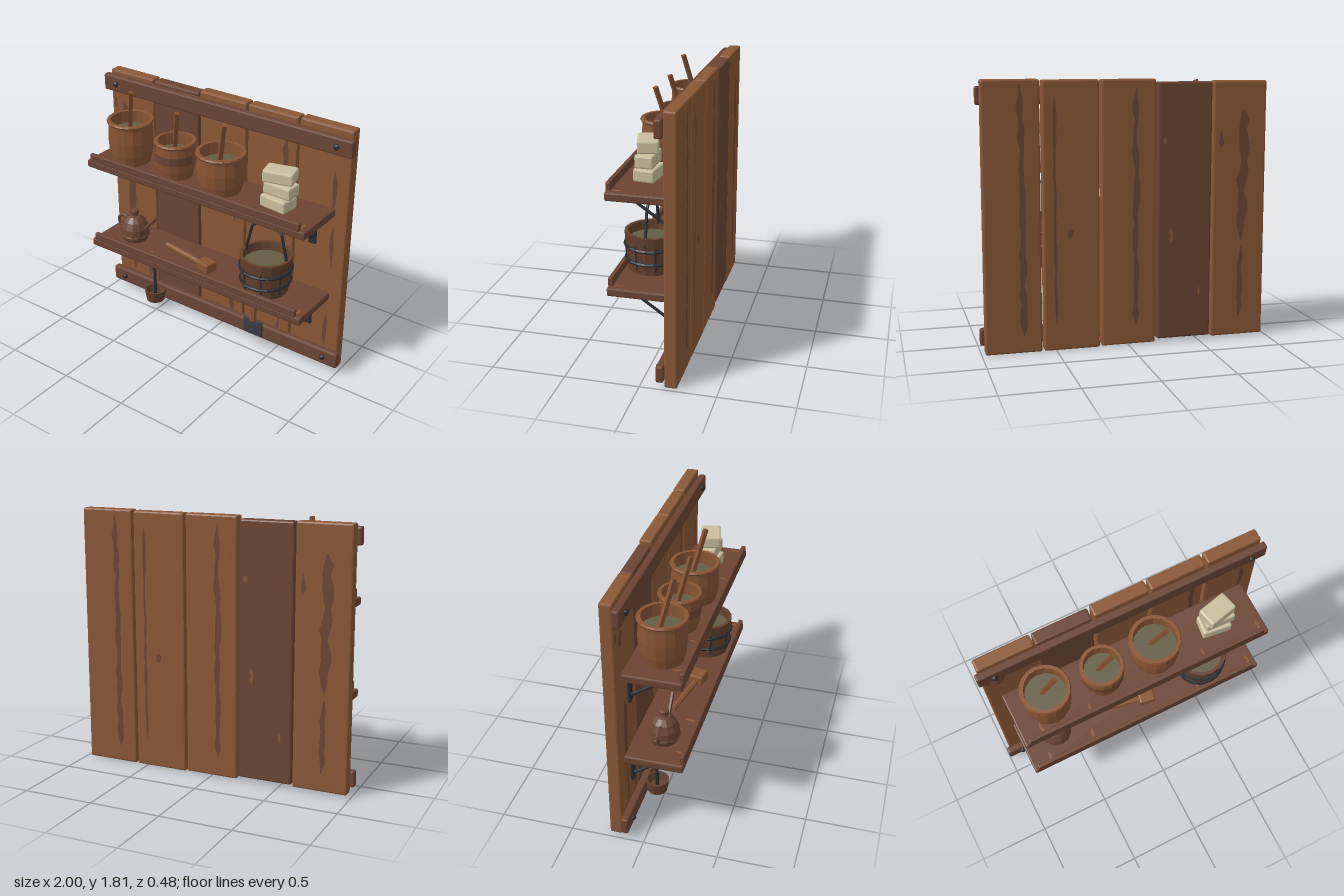
import * as THREE from 'three';
import { RoundedBoxGeometry } from 'three/addons/geometries/RoundedBoxGeometry.js';

export function createModel() {
  const root = new THREE.Group();
  root.name = 'wallShelf';
  const material = (name, color, side = THREE.FrontSide) => {
    const m = new THREE.MeshStandardMaterial({ color, side });
    m.name = name;
    return m;
  };
  const lightWood = material('lightWood', 0x8a5836);
  const darkWood = material('darkWood', 0x6b4433);
  const potWood = material('potWood', 0x875434);
  const pailWood = material('pailWood', 0x64402d);
  const iron = material('iron', 0x2a2c31);
  const steel = material('steel', 0x3a3b41);
  const cream = material('cream', 0xc9bf9e);
  const brew = material('brew', 0x645e44);

  let seed = 7;
  const rand = () => (seed = (seed * 16807) % 2147483647) / 2147483647;
  const V = (x, y, z) => new THREE.Vector3(x, y, z);

  // Faceted normals for every geometry
  const flat = (g) => {
    const f = g.index ? g.toNonIndexed() : g;
    f.computeVertexNormals();
    return f;
  };
  const add = (name, geometry, mat, x = 0, y = 0, z = 0, parent = root) => {
    const m = new THREE.Mesh(flat(geometry), mat);
    m.name = name;
    m.position.set(x, y, z);
    parent.add(m);
    return m;
  };
  // Chamfered box given by its limits
  const board = (name, mat, x0, x1, y0, y1, z0, z1, bevel = 0.01) =>
    add(name, new RoundedBoxGeometry(x1 - x0, y1 - y0, z1 - z0, 1, bevel), mat,
      (x0 + x1) / 2, (y0 + y1) / 2, (z0 + z1) / 2);
  // Straight bar between two points
  const bar = (name, mat, a, b, r, sides = 8, parent = root) => {
    const m = add(name, new THREE.CylinderGeometry(r, r, a.distanceTo(b), sides), mat, 0, 0, 0, parent);
    m.position.copy(a).add(b).multiplyScalar(0.5);
    m.quaternion.setFromUnitVectors(V(0, 1, 0), b.clone().sub(a).normalize());
    return m;
  };
  const lathe = (pts, sides) => new THREE.LatheGeometry(pts.map(([r, y]) => new THREE.Vector2(r, y)), sides);
  const ring = (name, mat, r, tube, x, y, z, sides, parent = root) => {
    add(name, new THREE.TorusGeometry(r, tube, 6, sides), mat, x, y, z, parent).rotation.x = Math.PI / 2;
  };
  // Ragged grain patch, facing +z
  const grain = (w, h) => {
    const n = Math.max(4, Math.round(h / 0.07));
    const left = [], right = [];
    for (let i = 0; i <= n; i++) {
      const taper = i === 0 || i === n ? 0.15 : 0.45 + 0.55 * rand();
      const y = (i / n - 0.5) * h, c = (rand() - 0.5) * w * 0.3;
      left.push(new THREE.Vector2(c - taper * w / 2, y));
      right.unshift(new THREE.Vector2(c + taper * w / 2, y));
    }
    return new THREE.ShapeGeometry(new THREE.Shape([...left, ...right]));
  };

  // Back planks
  [[-0.975, -0.595, 0.02, 1.795, lightWood], [-0.585, -0.205, 0.03, 1.79, darkWood],
    [-0.19, 0.185, 0.01, 1.81, lightWood], [0.2, 0.58, 0.005, 1.81, lightWood],
    [0.595, 0.975, 0.005, 1.815, lightWood]].forEach(([x0, x1, y0, y1, m]) =>
    board('backPlank', m, x0, x1, y0, y1, -0.24, -0.155, 0.012));

  // Grain on the front of the planks: x, y, width, height
  [[-0.825, 0.76, 0.08, 0.52], [-0.82, 0.33, 0.05, 0.3], [-0.67, 0.34, 0.07, 0.36], [-0.86, 1.5, 0.08, 0.12],
    [-0.94, 1.55, 0.04, 0.08], [0.09, 0.3, 0.05, 0.54], [0.1, 1.05, 0.04, 0.28], [0.5, 1.42, 0.05, 0.44],
    [0.49, 0.24, 0.04, 0.3], [0.5, 0.9, 0.03, 0.4], [0.87, 1.36, 0.05, 0.3], [0.88, 0.97, 0.035, 0.3],
    [0.87, 0.3, 0.03, 0.26]].forEach(([x, y, w, h]) =>
    add('frontGrain', grain(w, h), darkWood, x, y, -0.1535));
  // Grain on the back
  [[-0.81, 1.15, 0.08, 0.9], [-0.8, 0.4, 0.05, 0.5], [-0.65, 1.4, 0.04, 0.12], [-0.05, 0.95, 0.05, 1.6],
    [0.5, 0.95, 0.025, 1.5], [0.4, 0.8, 0.05, 0.06], [0.72, 0.95, 0.05, 1.65]].forEach(([x, y, w, h]) => {
    add('backGrain', grain(w, h), darkWood, x, y, -0.2415).rotation.y = Math.PI;
  });
  [[-0.3, 0.75, 0.03, 0.1], [-0.5, 0.35, 0.025, 0.07], [-0.25, 1.4, 0.03, 0.05]].forEach(([x, y, w, h]) => {
    add('backFleck', grain(w, h), lightWood, x, y, -0.2415).rotation.y = Math.PI;
  });

  // Cross rails with bolts
  [[0.05, 0.165], [1.65, 1.77]].forEach(([y0, y1]) => {
    board('rail', darkWood, -1, 1, y0, y1, -0.156, -0.105, 0.012);
    for (const x of [-0.89, 0.89])
      add('railBolt', new THREE.SphereGeometry(0.021, 8, 6), iron, x, (y0 + y1) / 2, -0.103);
  });

  // Shelves with front lip and iron brackets
  for (const y of [0.56, 1.2]) {
    board('shelf', darkWood, -0.89, 0.89, y, y + 0.056, -0.153, 0.238);
    board('shelfLip', darkWood, -0.86, 0.85, y + 0.05, y + 0.108, 0.21, 0.24, 0.006);
    for (const x of [-0.75, -0.41, 0.42, 0.84]) {
      const f = add('shelfFleck', grain(0.025, 0.07), lightWood, x, y + 0.0575, 0.16 + 0.03 * rand());
      f.rotation.x = -Math.PI / 2;
    }
    for (const x of [-0.737, 0.737]) {
      board('bracketUpright', iron, x - 0.027, x + 0.027, y - 0.245, y, -0.156, -0.137, 0.004);
      board('bracketArm', iron, x - 0.027, x + 0.027, y - 0.017, y, -0.15, 0.155, 0.004);
      bar('bracketBrace', iron, V(x, y - 0.012, 0.13), V(x, y - 0.2, -0.14), 0.011, 6);
      for (const dy of [-0.06, -0.19])
        add('bracketBolt', new THREE.SphereGeometry(0.014, 6, 5), iron, x, y + dy, -0.134);
    }
  }

  // Crocks with liquid and stirring sticks
  const crock = (x, r, top, tip) => {
    const g = new THREE.Group();
    g.name = 'crock';
    g.position.set(x, 1.255, 0.045);
    root.add(g);
    const h = top - 1.255;
    add('crockBody', lathe([[0, 0], [r * 0.82, 0], [r * 0.93, h * 0.25], [r * 0.97, h * 0.55], [r * 0.93, h * 0.85],
      [r * 0.95, h], [r * 0.84, h], [r * 0.82, h * 0.5], [0, h * 0.5]], 16), potWood, 0, 0, 0, g);
    ring('crockRim', potWood, r * 0.94, 0.012, 0, h - 0.01, 0, 20, g);
    add('liquid', new THREE.CylinderGeometry(r * 0.84, r * 0.84, 0.008, 16), brew, 0, h - 0.09, 0, g);
    bar('stirringStick', potWood, V(-0.03, h - 0.13, -0.025), V(0.062, tip - 1.255, 0.055), 0.019, 4, g);
    return g;
  };
  crock(-0.64, 0.163, 1.565, 1.79);
  const middle = crock(-0.25, 0.143, 1.51, 1.735);
  crock(0.127, 0.17, 1.53, 1.745);
  // Stain around the middle crock
  add('crockStain', new THREE.CylinderGeometry(0.1405, 0.1415, 0.06, 8, 1, true, -Math.PI / 2, Math.PI),
    darkWood, 0, 0.145, 0, middle);

  // Stack of soap blocks
  [[0.575, 1.257, 0.2, 0.14, -0.12], [0.592, 1.353, 0.205, 0.12, -0.04], [0.583, 1.447, 0.205, 0.135, 0.24]]
    .forEach(([x, y, w, d, turn]) => {
      add('soapBlock', new RoundedBoxGeometry(w, 0.084, d, 1, 0.012), cream, x, y + 0.042, 0.04).rotation.y = turn;
    });

  // Kettle
  const kettle = new THREE.Group();
  kettle.name = 'kettle';
  kettle.position.set(-0.64, 0.615, 0.045);
  root.add(kettle);
  add('kettleBody', lathe([[0, 0], [0.09, 0], [0.107, 0.05], [0.102, 0.1], [0.08, 0.15], [0.045, 0.185], [0.026, 0.19],
    [0.024, 0.205], [0.033, 0.213], [0.033, 0.232], [0.02, 0.237], [0, 0.237]], 12), darkWood, 0, 0, 0, kettle);
  ring('kettleBand', darkWood, 0.102, 0.008, 0, 0.045, 0, 16, kettle);
  add('kettleHandle', new THREE.TorusGeometry(0.047, 0.011, 6, 14), darkWood, -0.105, 0.11, 0, kettle);
  bar('kettleSpout', darkWood, V(0.085, 0.09, 0), V(0.207, 0.23, 0), 0.014, 6, kettle);

  // Wooden mallet lying on the lower shelf
  bar('malletHandle', potWood, V(-0.357, 0.638, 0.02), V(0.01, 0.643, 0.093), 0.022, 8);
  add('malletHead', new RoundedBoxGeometry(0.115, 0.072, 0.1, 1, 0.012), potWood, 0.048, 0.652, 0.1).rotation.y = -0.2;

  // Pail with hoops, straps and bail
  const pail = new THREE.Group();
  pail.name = 'pail';
  pail.position.set(0.5, 0.615, 0.045);
  root.add(pail);
  add('pailBody', lathe([[0, 0], [0.158, 0], [0.18, 0.265], [0.157, 0.265], [0.15, 0.15], [0, 0.15]], 16),
    pailWood, 0, 0, 0, pail);
  add('pailLiquid', new THREE.CylinderGeometry(0.155, 0.155, 0.008, 16), brew, 0, 0.2, 0, pail);
  ring('pailHoop', iron, 0.169, 0.012, 0, 0.08, 0, 20, pail);
  ring('pailHoop', iron, 0.176, 0.012, 0, 0.175, 0, 20, pail);
  for (let i = 0; i < 8; i++) {
    const a = (i + 0.5) * Math.PI / 4, c = Math.cos(a), s = Math.sin(a);
    bar('pailStrap', iron, V(0.16 * c, 0.03, 0.16 * s), V(0.176 * c, 0.2, 0.176 * s), 0.006, 5, pail);
  }
  const bail = [[-0.172, 0.2], [-0.15, 0.3], [-0.115, 0.445], [0, 0.535], [0.115, 0.445], [0.15, 0.3], [0.172, 0.2]]
    .map(([x, y]) => V(x, y, 0));
  for (let i = 0; i < 6; i++) bar('pailBail', iron, bail[i], bail[i + 1], 0.01, 6, pail);

  // Pegs with ball ends
  for (const x of [-0.537, 0.355]) {
    bar('peg', darkWood, V(x, 0.445, -0.16), V(x, 0.465, 0.02), 0.024);
    add('pegBall', new THREE.SphereGeometry(0.034, 10, 8), darkWood, x, 0.466, 0.03);
  }

  // Hanging ladle
  add('ladleCup', lathe([[0, 0], [0.068, 0], [0.083, 0.09], [0.07, 0.09], [0.058, 0.03], [0, 0.03]], 12),
    pailWood, -0.537, 0.07, -0.04);
  bar('ladleRod', iron, V(-0.537, 0.1, -0.042), V(-0.537, 0.5, -0.04), 0.012, 6);
  bar('ladleHook', iron, V(-0.537, 0.535, -0.045), V(-0.537, 0.485, 0.015), 0.01, 6);

  // Hanging scraper
  bar('scraperHandle', potWood, V(0.355, 0.235, -0.04), V(0.355, 0.475, -0.04), 0.026);
  board('scraperBlade', steel, 0.279, 0.433, 0.115, 0.24, -0.047, -0.033, 0.003);

  return root;
}
